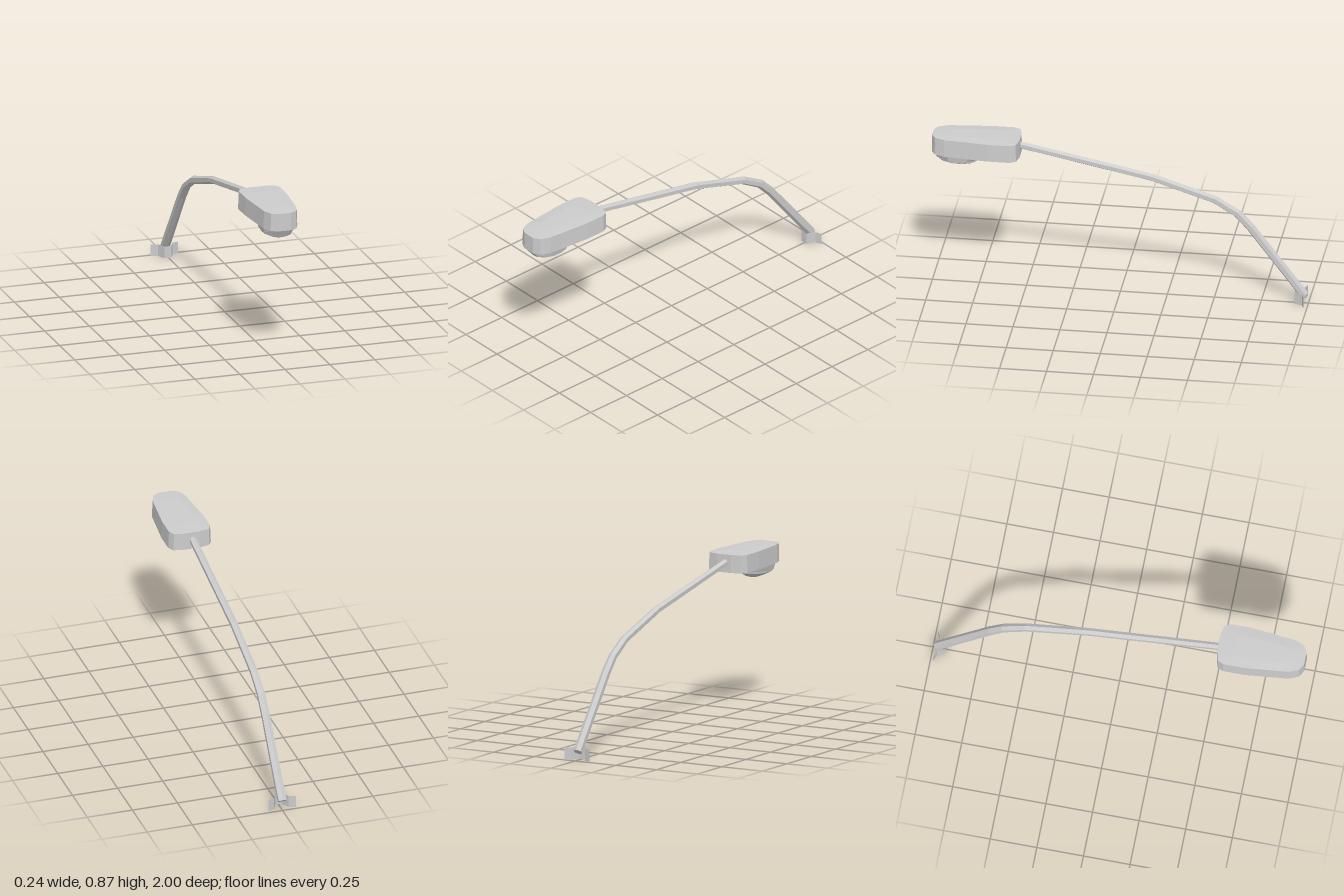
import * as THREE from 'three';

const material = new THREE.MeshStandardMaterial({ color: 0xcccccc, flatShading: true, side: THREE.DoubleSide });

// Skin a list of equal-length rings (each counter-clockwise seen from the far end), closing both ends.
function loft(name, rings) {
  const pos = [];
  const tri = (...pts) => pts.forEach((p) => pos.push(p.x, p.y, p.z));
  const n = rings[0].length;
  const middle = (ring) => ring.reduce((s, p) => s.add(p), new THREE.Vector3()).divideScalar(n);
  const first = rings[0], last = rings[rings.length - 1];
  const start = middle(first), end = middle(last);
  for (let i = 0; i < n; i++) {
    const k = (i + 1) % n;
    for (let j = 0; j < rings.length - 1; j++) {
      const a = rings[j], b = rings[j + 1];
      tri(a[i], a[k], b[k]);
      tri(a[i], b[k], b[i]);
    }
    tri(start, first[k], first[i]);
    tri(end, last[i], last[k]);
  }
  const geometry = new THREE.BufferGeometry();
  geometry.setAttribute('position', new THREE.Float32BufferAttribute(pos, 3));
  geometry.computeVertexNormals();
  const mesh = new THREE.Mesh(geometry, material);
  mesh.name = name;
  return mesh;
}

// Hexagonal arm, tapering along a bent path of [z, y] points.
function makeArm() {
  const path = [[-0.978, 0.045], [-0.69, 0.425], [-0.62, 0.5], [-0.5, 0.572], [-0.17, 0.678], [0.55, 0.824]];
  const rings = path.map(([z, y], j) => {
    const before = path[Math.max(j - 1, 0)], after = path[Math.min(j + 1, path.length - 1)];
    const t = new THREE.Vector2(after[0] - before[0], after[1] - before[1]).normalize();
    const r = THREE.MathUtils.lerp(0.025, 0.02, j / (path.length - 1));
    return Array.from({ length: 6 }, (_, i) => {
      const a = ((i + 0.5) * Math.PI) / 3;
      const up = r * Math.sin(a);
      return new THREE.Vector3(-0.0045 + r * Math.cos(a), y + up * t.x, z - up * t.y);
    });
  });
  return loft('arm', rings);
}

// Lamp housing: mirrored outline, wider at the back, with a slightly crowned lid.
function makeHousing() {
  const half = [[0.035, 0.998], [0.072, 0.978], [0.094, 0.925], [0.118, 0.69], [0.118, 0.575], [0.1, 0.542], [0.045, 0.53]];
  const outline = [...half, ...half.map(([x, z]) => [-x, z]).reverse()];
  const levels = [[0.77, 1, 1], [0.866, 0.965, 0.993], [0.871, 0.5, 0.6]];
  return loft('housing', levels.map(([y, sx, sz]) =>
    outline.map(([x, z]) => new THREE.Vector3(x * sx, y, 0.765 + (z - 0.765) * sz))));
}

// Stack of oval rings: [y, centre z, half width, half length].
function ovals(levels, sides) {
  return levels.map(([y, cz, rx, rz]) => Array.from({ length: sides }, (_, i) => {
    const a = ((i + 0.5) * 2 * Math.PI) / sides;
    const k = 1 / Math.cos(Math.PI / sides);
    return new THREE.Vector3(rx * k * Math.sin(a), y, cz + rz * k * Math.cos(a));
  }));
}

// Clamp: open strip bent around the foot of the arm.
function makeClamp() {
  const bend = [[-0.08, -0.985], [-0.043, -0.972], [-0.022, -0.928], [0.016, -0.928], [0.037, -0.972], [0.072, -0.985]];
  const geometry = new THREE.PlaneGeometry(1, 0.065, bend.length - 1, 1);
  const p = geometry.attributes.position;
  for (let i = 0; i < p.count; i++) {
    const [x, z] = bend[i % bend.length];
    p.setXYZ(i, x, p.getY(i) + 0.0325, z);
  }
  geometry.computeVertexNormals();
  const mesh = new THREE.Mesh(geometry, material);
  mesh.name = 'clamp';
  return mesh;
}

export function createModel() {
  const model = new THREE.Group();
  model.name = 'streetLamp';
  model.add(
    makeArm(),
    makeHousing(),
    // Skirt under the housing and the faceted lens bowl it holds
    loft('lensSkirt', ovals([[0.738, 0.857, 0.082, 0.113], [0.775, 0.852, 0.09, 0.14]], 8)),
    loft('lensBowl', ovals([[0.699, 0.845, 0.016, 0.025], [0.71, 0.85, 0.045, 0.072], [0.727, 0.857, 0.077, 0.106], [0.742, 0.859, 0.08, 0.112]], 12)),
    makeClamp(),
  );
  return model;
}
